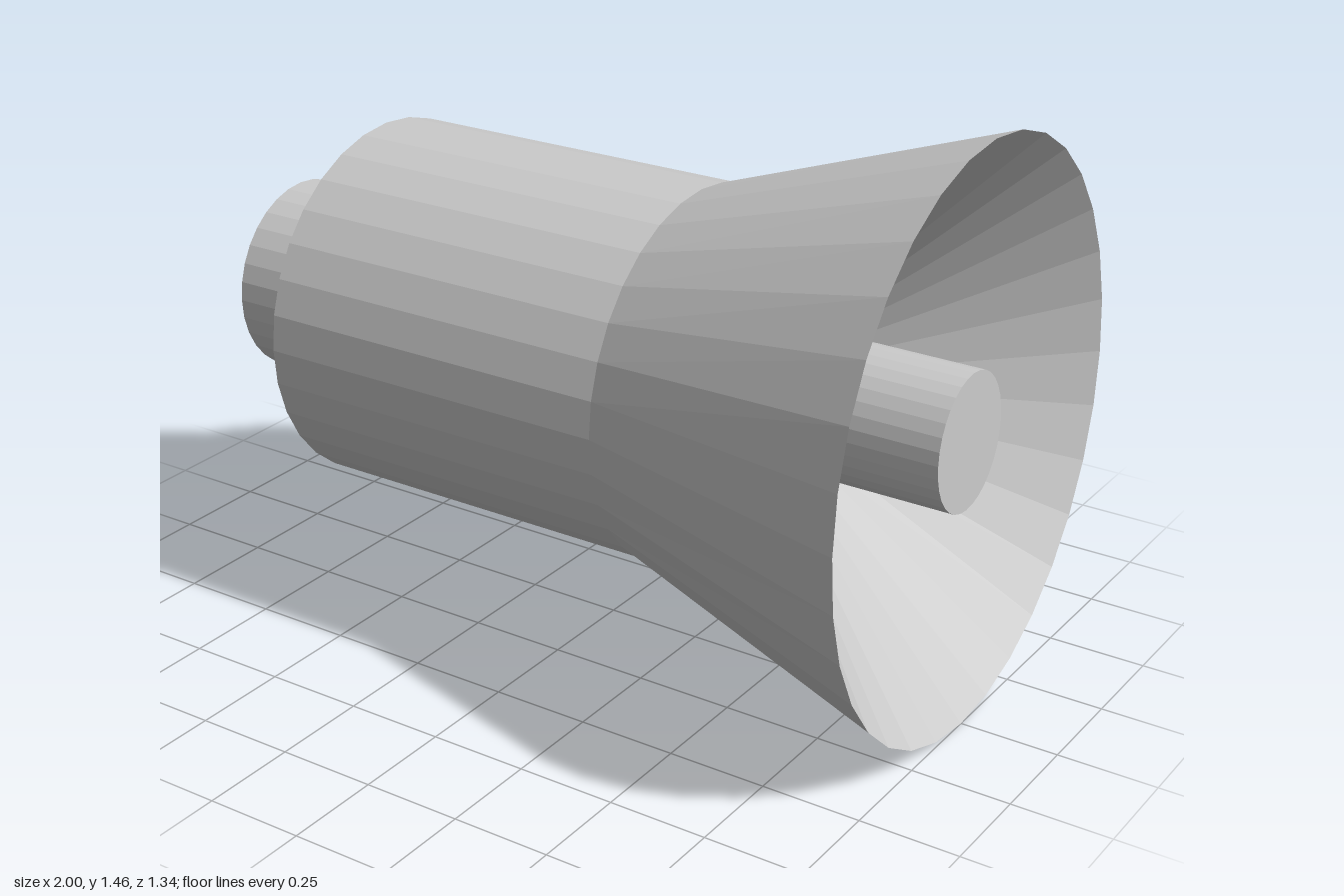
import * as THREE from 'three';

const SIDES = 32;
const material = new THREE.MeshStandardMaterial({ color: 0xcccccc, flatShading: true });

// Joins elliptical rings [x, radiusY, radiusZ, centreY] along the x axis.
function loft(name, rings) {
  const positions = [];
  const index = [];
  rings.forEach(([x, ry, rz, cy = 0.73], i) => {
    for (let j = 0; j < SIDES; j++) {
      const a = (j / SIDES) * Math.PI * 2;
      positions.push(x, cy + ry * Math.cos(a), rz * Math.sin(a));
      if (i === rings.length - 1) continue;
      const p = i * SIDES + j;
      const q = i * SIDES + ((j + 1) % SIDES);
      if (ry > 0) index.push(p, q, p + SIDES);
      if (rings[i + 1][1] > 0) index.push(q, q + SIDES, p + SIDES);
    }
  });
  const geometry = new THREE.BufferGeometry();
  geometry.setAttribute('position', new THREE.Float32BufferAttribute(positions, 3));
  geometry.setIndex(index);
  geometry.computeVertexNormals();
  const mesh = new THREE.Mesh(geometry, material);
  mesh.name = name;
  return mesh;
}

export function createModel() {
  const group = new THREE.Group();
  group.name = 'flaredHorn';

  const collar = [-0.7, 0.253, 0.252, 0.725];
  const bodyEnd = [-0.7, 0.468, 0.47, 0.727];
  const neck = [0.25, 0.47, 0.47, 0.729];
  const rim = [1, 0.73, 0.671];
  const rodBase = [0.5, 0.172, 0.158, 0.732];
  const rodTip = [0.98, 0.172, 0.158, 0.732];

  group.add(
    // Closed stub at the narrow end
    loft('rearStub', [[-1, 0, 0, 0.724], [-1, 0.253, 0.252, 0.724], collar]),
    // Straight barrel with its ring-shaped shoulder
    loft('barrel', [collar, bodyEnd, neck]),
    // Outside of the flared mouth
    loft('flare', [neck, rim]),
    // Inside of the mouth, tapering to the rod
    loft('innerCone', [rim, rodBase]),
    // Central rod, ending just inside the rim
    loft('centreRod', [rodBase, rodTip, [0.98, 0, 0, 0.732]]),
  );
  return group;
}
